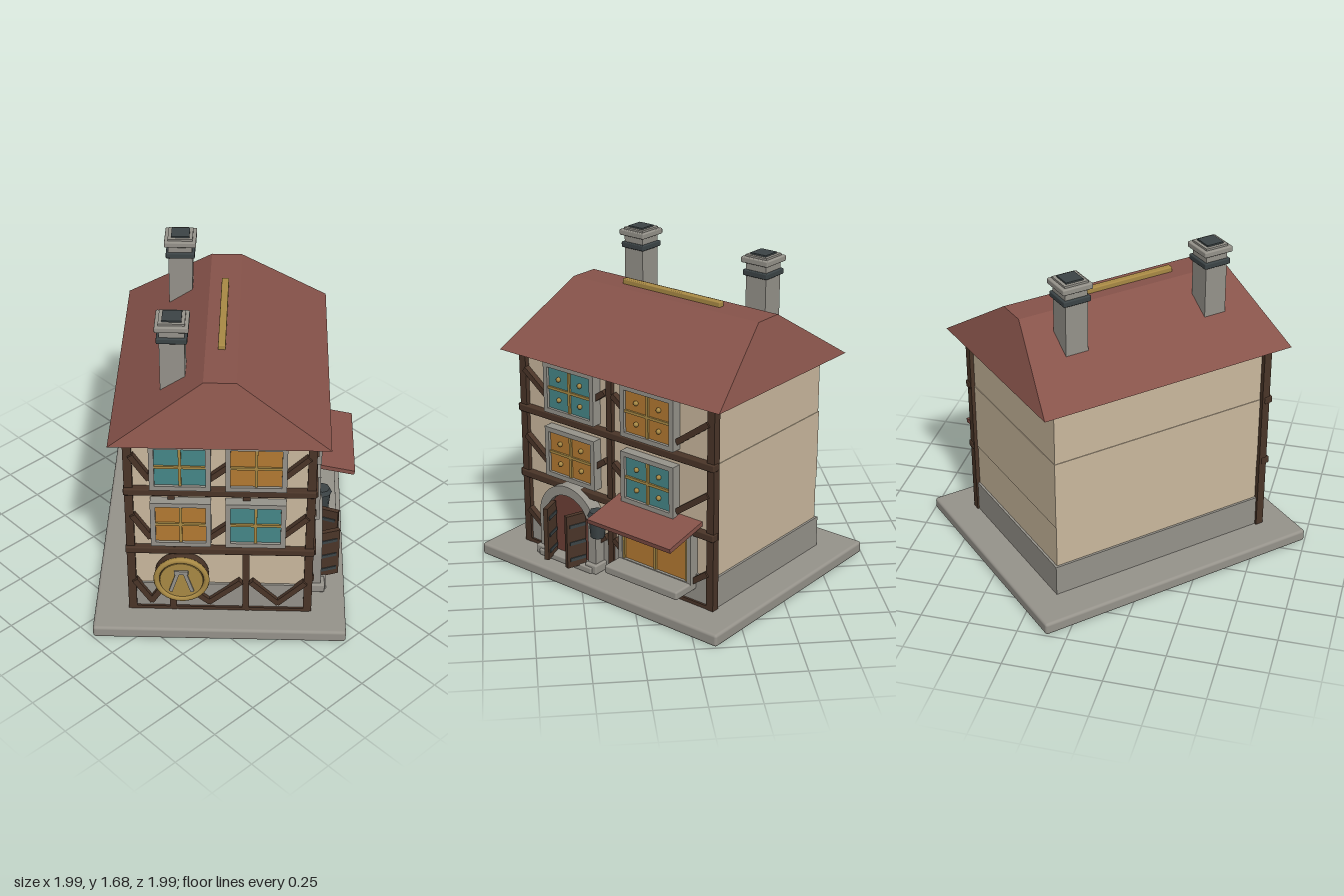
import * as THREE from 'three';
import { RoundedBoxGeometry } from 'three/addons/geometries/RoundedBoxGeometry.js';

const mat = (name, color) => {
  const m = new THREE.MeshStandardMaterial({ color });
  m.name = name;
  return m;
};

export function createModel() {
  const stone = mat('stone', 0x96938b), plaster = mat('plaster', 0xcbb99e);
  const timber = mat('timber', 0x4a3528), roofRed = mat('roof tile', 0x87534a);
  const teal = mat('teal glass', 0x468889), amber = mat('amber glass', 0xb47a32);
  const gold = mat('gold trim', 0xa98a45), iron = mat('iron', 0x3c4446);
  const doorRed = mat('door wood', 0x6e4036);

  const model = new THREE.Group();
  model.name = 'house';
  const house = new THREE.Group();
  house.name = 'building';
  house.rotation.y = Math.PI / 4;
  model.add(house);

  const add = (parent, name, geo, material, x = 0, y = 0, z = 0) => {
    const m = new THREE.Mesh(geo, material);
    m.name = name;
    m.position.set(x, y, z);
    parent.add(m);
    return m;
  };
  const box = (parent, name, material, w, h, d, x, y, z) =>
    add(parent, name, new THREE.BoxGeometry(w, h, d), material, x, y, z);
  const round = (parent, name, material, w, h, d, x, y, z, r = 0.01) =>
    add(parent, name, new RoundedBoxGeometry(w, h, d, 2, r), material, x, y, z);
  const group = (parent, name, x = 0, y = 0, z = 0) => {
    const g = new THREE.Group();
    g.name = name;
    g.position.set(x, y, z);
    parent.add(g);
    return g;
  };
  const extrude = (shape, depth) =>
    new THREE.ExtrudeGeometry(shape, { depth, bevelEnabled: false, curveSegments: 16 });

  // Base slab, footing and wall storeys
  round(house, 'baseSlab', stone, 1.556, 0.065, 1.273, 0, 0.0325, 0, 0.015);
  box(house, 'footing', stone, 1.232, 0.17, 0.9, 0, 0.145, 0);
  [[0.23, 0.46, 0], [0.46, 0.828, 0.006], [0.828, 1.15, 0]].forEach(([a, b, g]) =>
    box(house, 'wallStorey', plaster, 1.208 + g, b - a, 0.876 + g, 0, (a + b) / 2, 0));

  // Hipped roof: a box drawn in to a narrow flat top
  const roofGeo = new THREE.BoxGeometry(1.394, 0.3, 1.052).toNonIndexed();
  const p = roofGeo.attributes.position;
  for (let i = 0; i < p.count; i++) {
    if (p.getY(i) > 0) p.setXYZ(i, Math.sign(p.getX(i)) * 0.588, 0.15, Math.sign(p.getZ(i)) * 0.078);
  }
  roofGeo.computeVertexNormals();
  add(house, 'roof', roofGeo, roofRed, 0, 1.292, 0);
  round(house, 'ridgeBar', gold, 0.62, 0.03, 0.036, 0, 1.453, 0, 0.006);

  // Chimneys
  for (const s of [-1, 1]) {
    const c = group(house, 'chimney', s * 0.39, 0, -0.228);
    box(c, 'shaft', stone, 0.12, 0.49, 0.12, 0, 1.395, 0);
    round(c, 'ironBand', iron, 0.146, 0.03, 0.146, 0, 1.582, 0, 0.006);
    round(c, 'cap', stone, 0.16, 0.03, 0.16, 0, 1.648, 0, 0.006);
    box(c, 'capTop', stone, 0.125, 0.012, 0.125, 0, 1.667, 0);
    box(c, 'flue', iron, 0.092, 0.03, 0.092, 0, 1.666, 0);
  }

  // Each timbered face has its own frame: x along the wall, z outward
  const front = group(house, 'frontFace', 0, 0, 0.438);
  const end = group(house, 'endFace', -0.604, 0, 0);
  end.rotation.y = -Math.PI / 2;

  for (const [x, z] of [[-0.604, 0.442], [0.604, 0.442], [-0.604, -0.442]])
    box(house, 'cornerPost', timber, 0.042, 1.08, 0.042, x, 0.605, z);

  // Posts, beams and V braces for one face
  const frame = (face, half, posts) => {
    for (const u of posts) box(face, 'post', timber, 0.034, 1.08, 0.028, u, 0.605, 0.01);
    for (const y of [0.462, 0.828])
      round(face, 'floorBeam', timber, half * 2 + 0.03, 0.038, 0.045, 0, y, 0.014, 0.006);
    for (const y of [0.074, 1.134]) box(face, 'sillBeam', timber, half * 2, 0.02, 0.03, 0, y, 0.008);
    const stops = [-half, ...posts, half];
    for (const floor of [0.06, 0.48, 0.845]) {
      for (let i = 0; i + 1 < stops.length; i++) {
        const run = Math.min(0.19, (stops[i + 1] - stops[i]) / 2 - 0.02);
        for (const s of [1, -1]) {
          const u = s > 0 ? stops[i] : stops[i + 1];
          const b = box(face, 'brace', timber, Math.hypot(run, 0.14), 0.03, 0.03,
            u + s * (run / 2 + 0.025), floor + 0.13, 0.018);
          b.rotation.z = -s * Math.atan2(0.14, run);
        }
      }
    }
  };
  frame(front, 0.615, [-0.028]);
  frame(end, 0.452, [-0.236, 0.13]);

  const rect = (w, h, T) => {
    const r = new T();
    r.moveTo(-w / 2, -h / 2);
    r.lineTo(w / 2, -h / 2);
    r.lineTo(w / 2, h / 2);
    r.lineTo(-w / 2, h / 2);
    r.closePath();
    return r;
  };

  // Framed window with mullions and optional studs
  const makeWindow = (face, name, u, y, w, h, glass, { studs = false, cross = true } = {}) => {
    const g = group(face, name, u, y, 0);
    const ring = rect(w, h, THREE.Shape);
    ring.holes.push(rect(w - 0.05, h - 0.05, THREE.Path));
    add(g, 'windowFrame', extrude(ring, 0.055), stone);
    box(g, 'glass', glass, w - 0.05, h - 0.05, 0.03, 0, 0, 0.025);
    box(g, 'mullion', gold, 0.014, h - 0.05, 0.012, 0, 0, 0.044);
    if (cross) box(g, 'crossBar', gold, w - 0.05, 0.014, 0.012, 0, 0, 0.044);
    else for (const s of [-1, 1]) box(g, 'edgeBar', gold, 0.012, h - 0.05, 0.012, s * (w / 2 - 0.031), 0, 0.044);
    if (studs) for (const i of [-1, 1]) for (const j of [-1, 1])
      add(g, 'stud', new THREE.SphereGeometry(0.013, 10, 8), gold, i * (w - 0.05) / 4, j * (h - 0.05) / 4, 0.046);
  };
  [[0.645, amber, teal], [0.995, teal, amber]].forEach(([y, a, b]) => {
    makeWindow(front, 'frontWindow', -0.268, y, 0.33, 0.27, a, { studs: true });
    makeWindow(front, 'frontWindow', 0.235, y, 0.33, 0.27, b, { studs: true });
    makeWindow(end, 'endWindow', -0.19, y, 0.295, 0.27, a);
    makeWindow(end, 'endWindow', 0.175, y, 0.295, 0.27, b);
  });

  // Arched doorway with two open leaves
  const door = group(front, 'doorway', -0.275, 0, 0);
  const arched = (r, T) => {
    const s = new T();
    s.moveTo(-r, 0.065);
    s.lineTo(r, 0.065);
    s.lineTo(r, 0.3);
    s.absarc(0, 0.3, r, 0, Math.PI, false);
    s.closePath();
    return s;
  };
  const arch = arched(0.19, THREE.Shape);
  arch.holes.push(arched(0.14, THREE.Path));
  add(door, 'stoneArch', extrude(arch, 0.075), stone);
  add(door, 'doorPanel', extrude(arched(0.142, THREE.Shape), 0.045), doorRed);
  round(door, 'threshold', stone, 0.36, 0.035, 0.11, 0, 0.08, 0.05, 0.008);
  for (const s of [-1, 1]) {
    round(door, 'archFoot', stone, 0.075, 0.05, 0.1, s * 0.168, 0.088, 0.045, 0.008);
    const leaf = group(door, 'doorLeaf', s * 0.105, 0, 0.06);
    leaf.rotation.y = -s * 0.33;
    box(leaf, 'planks', timber, 0.024, 0.29, 0.11, 0, 0.235, 0.055);
    for (const y of [0.135, 0.225, 0.32]) box(leaf, 'hingeStrap', iron, 0.034, 0.018, 0.09, 0, y, 0.05);
  }

  // Wall lantern
  const lamp = group(front, 'lantern', -0.065, 0, 0.08);
  add(lamp, 'lanternBody', new THREE.CylinderGeometry(0.046, 0.036, 0.12, 8), iron, 0, 0.34, 0);
  add(lamp, 'lanternCap', new THREE.CylinderGeometry(0.04, 0.052, 0.025, 8), iron, 0, 0.41, 0);
  box(lamp, 'lanternBracket', iron, 0.02, 0.02, 0.09, 0, 0.41, -0.04);

  // Shop window, counter and awning
  makeWindow(front, 'shopWindow', 0.28, 0.31, 0.46, 0.28, amber, { cross: false });
  round(front, 'counter', stone, 0.46, 0.045, 0.165, 0.28, 0.168, 0.083, 0.01);
  const awning = box(front, 'awning', roofRed, 0.52, 0.024, 0.255, 0.28, 0.482, 0.126);
  awning.rotation.x = 0.2;

  // Round hanging sign with a plain pair of tools
  const sign = group(end, 'roundSign', -0.19, 0.31, 0);
  const disc = (name, r, d, m, z) => {
    add(sign, name, new THREE.CylinderGeometry(r, r, d, 32), m, 0, 0, z).rotation.x = Math.PI / 2;
  };
  disc('signBoard', 0.135, 0.055, timber, 0.045);
  disc('signFace', 0.108, 0.01, gold, 0.075);
  add(sign, 'signRim', new THREE.TorusGeometry(0.125, 0.015, 8, 32), gold, 0, 0, 0.072);
  for (const s of [-1, 1])
    box(sign, 'signTool', stone, 0.018, 0.13, 0.012, s * 0.035, -0.005, 0.083).rotation.z = s * 0.3;
  box(sign, 'signToolHead', stone, 0.07, 0.022, 0.012, 0, 0.055, 0.084);

  return model;
}
